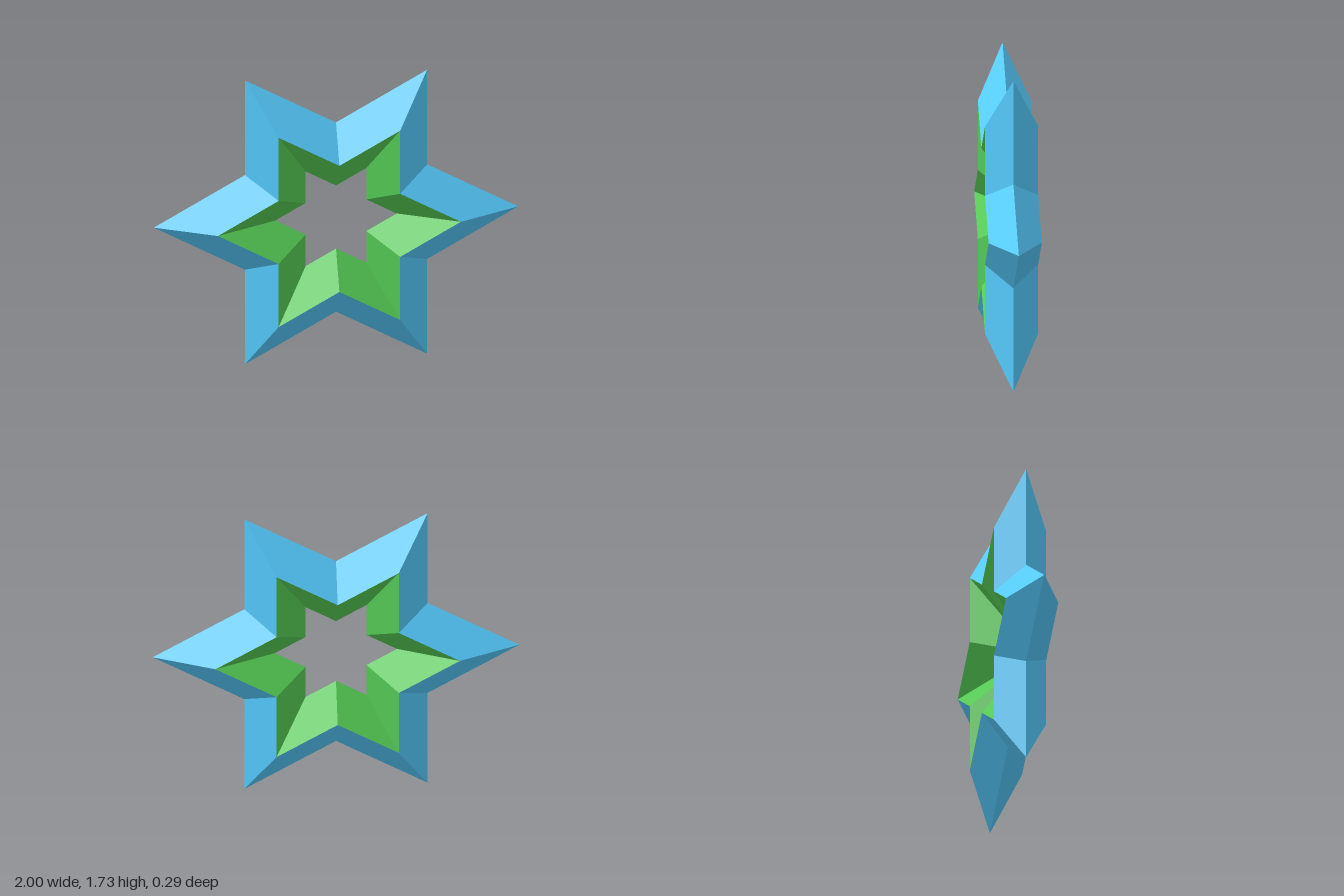
import * as THREE from 'three';

const HALF_DEPTH = 0.145;
const NOTCH = 1 / Math.sqrt(3); // notch radius relative to tip radius
const CENTRE_Y = Math.sqrt(3) / 2;

// Six-pointed star outline: tips and notches alternate every 30 degrees
function starLoop(radius, z) {
  return Array.from({ length: 12 }, (_, i) => {
    const r = i % 2 ? radius * NOTCH : radius;
    const a = (i * Math.PI) / 6;
    return [r * Math.cos(a), r * Math.sin(a), z];
  });
}

// Flat-shaded faces joining each loop to the next one
function facetBand(name, loops, color) {
  const positions = [];
  for (let k = 0; k < loops.length - 1; k++) {
    const from = loops[k], to = loops[k + 1];
    for (let i = 0; i < 12; i++) {
      const j = (i + 1) % 12;
      positions.push(...from[i], ...from[j], ...to[j], ...from[i], ...to[j], ...to[i]);
    }
  }
  const geometry = new THREE.BufferGeometry();
  geometry.setAttribute('position', new THREE.Float32BufferAttribute(positions, 3));
  geometry.computeVertexNormals();
  const mesh = new THREE.Mesh(geometry, new THREE.MeshStandardMaterial({ color, flatShading: true }));
  mesh.name = name;
  mesh.position.y = CENTRE_Y;
  return mesh;
}

export function createModel() {
  const group = new THREE.Group();
  group.name = 'starFrame';

  const ridgeFront = starLoop(2 / 3, HALF_DEPTH);
  const ridgeBack = starLoop(2 / 3, -HALF_DEPTH);

  // Outer bevels meet at the star's rim, inner bevels at the opening
  group.add(facetBand('outerBevel', [ridgeBack, starLoop(1, 0), ridgeFront], 0x55ccff));
  group.add(facetBand('innerBevel', [ridgeFront, starLoop(1 / 3, 0), ridgeBack], 0x55cc55));
  return group;
}
